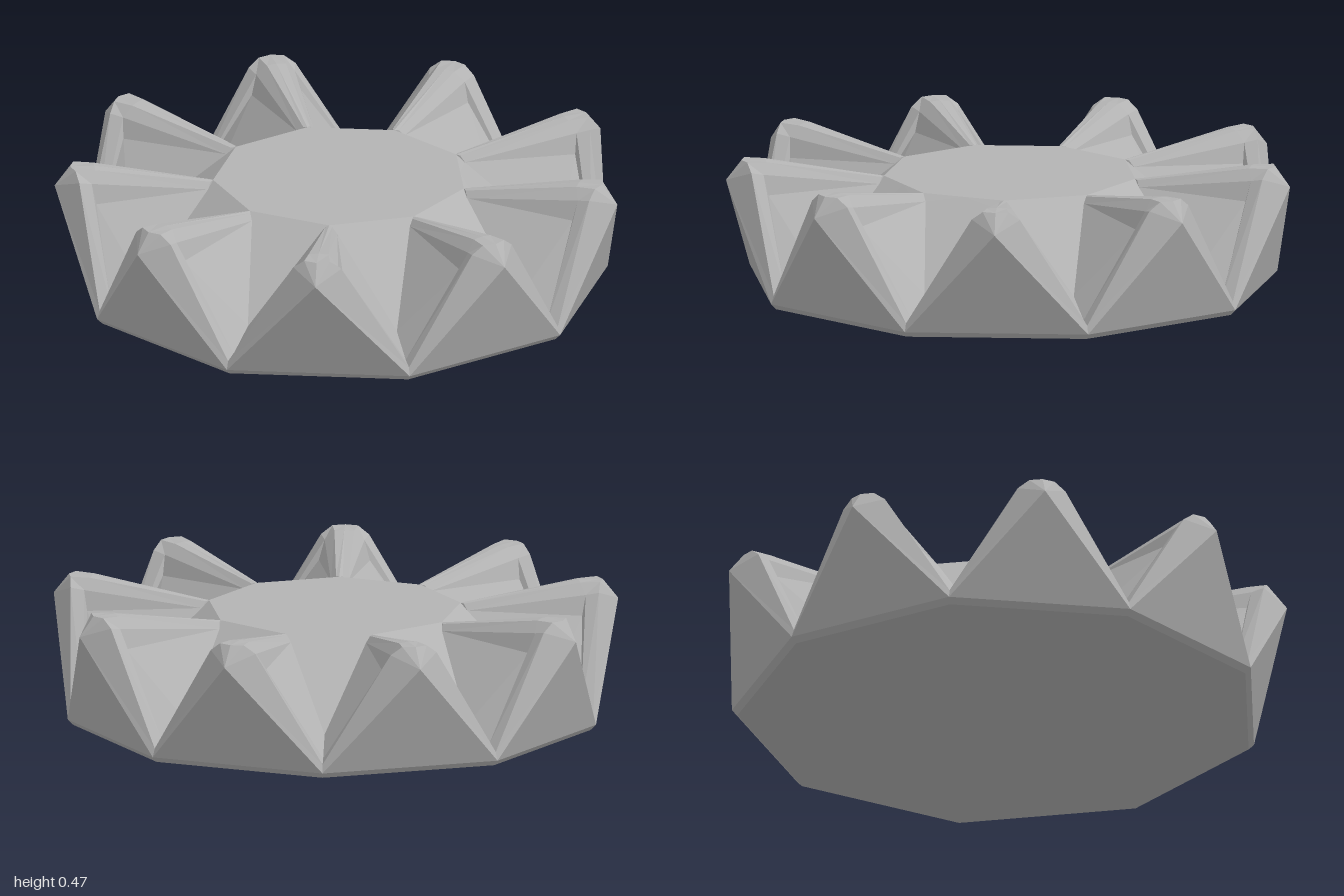
import * as THREE from 'three';

const SIDES = 9;
const STEP = (Math.PI * 2) / SIDES;

// Point on the valley line between two neighbouring peaks
const valley = (r, y) => [r * Math.cos(STEP / 2), y, r * Math.sin(STEP / 2)];

// One peak: outer triangle, bevelled rails, ridge, recessed panels and inner slope.
// Local axes: x outward, y up, z sideways; the +z half is mirrored.
function makePeakGeometry() {
  const pos = [];
  const a = new THREE.Vector3(), b = new THREE.Vector3(), c = new THREE.Vector3();

  // Adds a polygon as a fan, turned up or down, with its mirrored twin
  function face(points, up = true) {
    for (let i = 1; i < points.length - 1; i++) {
      const tri = [points[0], points[i], points[i + 1]];
      a.fromArray(tri[0]);
      b.fromArray(tri[1]).sub(a);
      c.fromArray(tri[2]).sub(a);
      if ((b.cross(c).y > 0) !== up) tri.reverse();
      tri.forEach((p) => pos.push(...p));
      tri.reverse().forEach(([x, y, z]) => pos.push(x, y, -z));
    }
  }

  // Tip and crest
  const tip = [1.01, 0.4, 0];
  const crestOut = [0.955, 0.47, 0], crestOutSide = [0.94, 0.47, 0.045];
  const crestIn = [0.87, 0.47, 0], crestInSide = [0.87, 0.467, 0.035];
  const shoulder = [0.93, 0.44, 0.085];
  const corner = [0.885, 0.43, 0.07], pocket = [0.87, 0.36, 0.09];
  // Inner end of the ridge
  const ridgeEnd = [0.45, 0.4, 0], ridgeEndSide = [0.46, 0.398, 0.012], ridgeFoot = [0.47, 0.377, 0.03];
  // Valley
  const foot = valley(0.945, 0.02), railOut = valley(0.935, 0.05);
  const railIn = valley(0.89, 0.06), slopeEnd = valley(0.77, 0.12);
  const rimMid = valley(0.45 * Math.cos(STEP / 2), 0.4);

  // Outer triangle
  face([[foot[0], 0.02, 0], foot, tip], false);
  // Outer bevel and rail
  face([tip, foot, railOut, shoulder]);
  face([tip, shoulder, crestOutSide]);
  face([tip, crestOutSide, crestOut]);
  face([shoulder, railOut, railIn, corner]);
  face([crestOutSide, shoulder, corner, crestInSide]);
  face([crestOut, crestOutSide, crestInSide, crestIn]);
  // Ridge
  face([crestIn, crestInSide, ridgeEndSide, ridgeEnd]);
  face([crestInSide, corner, ridgeFoot, ridgeEndSide]);
  face([corner, pocket, ridgeFoot]);
  // Recessed panel
  face([corner, railIn, pocket]);
  face([pocket, slopeEnd, ridgeFoot]);
  face([pocket, railIn, slopeEnd]);
  // Slope down from the top disc
  face([rimMid, ridgeEnd, ridgeFoot, slopeEnd]);
  face([ridgeEnd, ridgeEndSide, ridgeFoot]);

  const geo = new THREE.BufferGeometry();
  geo.setAttribute('position', new THREE.Float32BufferAttribute(pos, 3));
  geo.computeVertexNormals();
  return geo;
}

export function createModel() {
  const grey = new THREE.MeshStandardMaterial({ color: 0xb3b3b3 });
  grey.name = 'grey';
  const model = new THREE.Group();
  model.name = 'starDish';

  // Shared body, shifted so the uneven outline is centred
  const body = new THREE.Group();
  body.name = 'body';
  body.position.x = -0.03;
  model.add(body);

  // Ring of peaks
  const peakGeo = makePeakGeometry();
  for (let i = 0; i < SIDES; i++) {
    const peak = new THREE.Mesh(peakGeo, grey);
    peak.name = 'peak' + (i + 1);
    peak.rotation.y = i * STEP;
    body.add(peak);
  }

  // Bevelled nine-sided base
  const baseGeo = new THREE.CylinderGeometry(0.945, 0.925, 0.02, SIDES, 1, false, -Math.PI / 2).toNonIndexed();
  baseGeo.computeVertexNormals();
  const base = new THREE.Mesh(baseGeo, grey);
  base.name = 'base';
  base.position.y = 0.01;
  body.add(base);

  // Flat top disc
  const disc = new THREE.Mesh(new THREE.CircleGeometry(0.45, SIDES), grey);
  disc.name = 'topDisc';
  disc.rotation.x = -Math.PI / 2;
  disc.position.y = 0.4;
  body.add(disc);

  return model;
}
